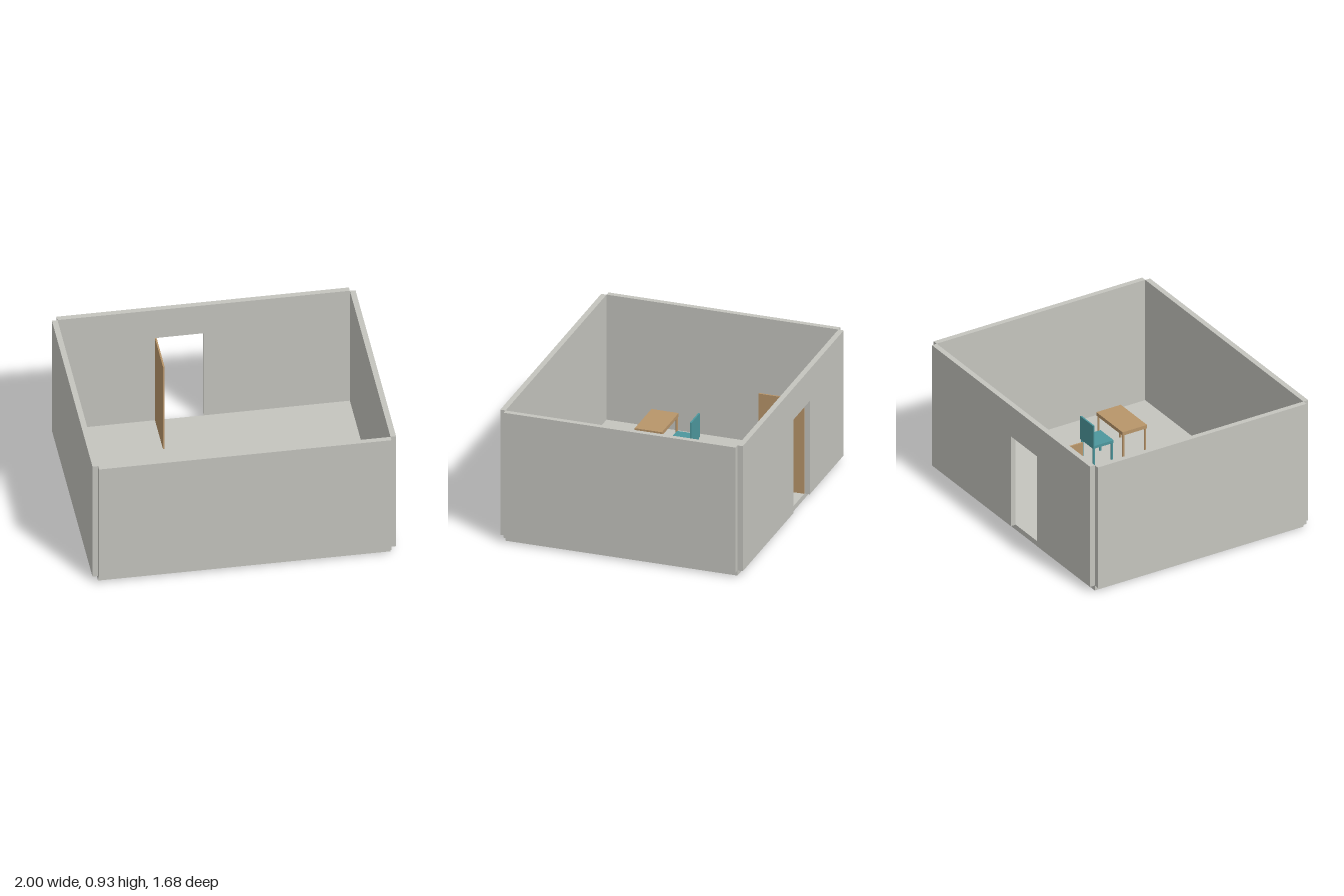
import * as THREE from 'three';

const mat = (name, color) => {
  const m = new THREE.MeshStandardMaterial({ color });
  m.name = name;
  return m;
};

export function createModel() {
  const room = new THREE.Group();
  room.name = 'classroom';
  const grey = mat('wall grey', 0xc4c4be);
  const wood = mat('wood tan', 0xb8956a);
  const teal = mat('chair teal', 0x4d979d);

  // Box given by its lower and upper corners
  const box = (parent, name, material, [x0, y0, z0], [x1, y1, z1]) => {
    const mesh = new THREE.Mesh(new THREE.BoxGeometry(x1 - x0, y1 - y0, z1 - z0), material);
    mesh.position.set((x0 + x1) / 2, (y0 + y1) / 2, (z0 + z1) / 2);
    mesh.name = name;
    parent.add(mesh);
  };

  const X = 0.963, Z = 0.801, T = 0.037, TOP = 0.93;
  const doorLeft = -0.315, doorRight = 0, doorTop = 0.704;

  // Floor slab and the three plain walls, which leave notched corners
  box(room, 'floor', grey, [-X, 0, -Z], [X, T, Z]);
  box(room, 'frontWall', grey, [-X, T, Z], [X, TOP, Z + T]);
  box(room, 'leftWall', grey, [X, T, -Z], [X + T, TOP, Z]);
  box(room, 'rightWall', grey, [-X - T, T, -Z], [-X, TOP, Z]);

  // Back wall with the doorway cut up from its lower edge
  const outline = new THREE.Shape([
    [-X, T], [doorLeft, T], [doorLeft, doorTop], [doorRight, doorTop],
    [doorRight, T], [X, T], [X, TOP], [-X, TOP],
  ].map(([x, y]) => new THREE.Vector2(x, y)));
  const backWall = new THREE.Mesh(
    new THREE.ExtrudeGeometry(outline, { depth: T, bevelEnabled: false }), grey);
  backWall.position.z = -Z - T;
  backWall.name = 'backWall';
  room.add(backWall);

  // Door swung fully inward
  box(room, 'door', wood, [doorLeft - 0.006, T, -Z], [doorLeft + 0.005, doorTop, -0.486]);

  // Four legs under a rectangular top
  const legs = (parent, name, material, halfX, z0, z1, top) => {
    for (const x of [-halfX, halfX]) for (const z of [z0, z1]) {
      const leg = new THREE.Mesh(new THREE.CylinderGeometry(0.008, 0.008, top - T, 12), material);
      leg.position.set(x, (top + T) / 2, z);
      leg.name = name;
      parent.add(leg);
    }
  };

  // Two desks, each with a chair facing the front
  for (const x of [-0.58, 0.48]) {
    const desk = new THREE.Group();
    desk.name = 'desk';
    desk.position.x = x;
    box(desk, 'deskTop', wood, [-0.16, 0.245, 0.222], [0.16, 0.27, 0.41]);
    legs(desk, 'deskLeg', wood, 0.15, 0.232, 0.4, 0.245);
    room.add(desk);

    const chair = new THREE.Group();
    chair.name = 'chair';
    chair.position.x = x;
    box(chair, 'seat', teal, [-0.08, 0.16, 0.047], [0.08, 0.18, 0.204]);
    box(chair, 'backrest', teal, [-0.08, 0.18, 0.047], [0.08, 0.33, 0.058]);
    legs(chair, 'chairLeg', teal, 0.071, 0.056, 0.195, 0.16);
    room.add(chair);
  }
  return room;
}
